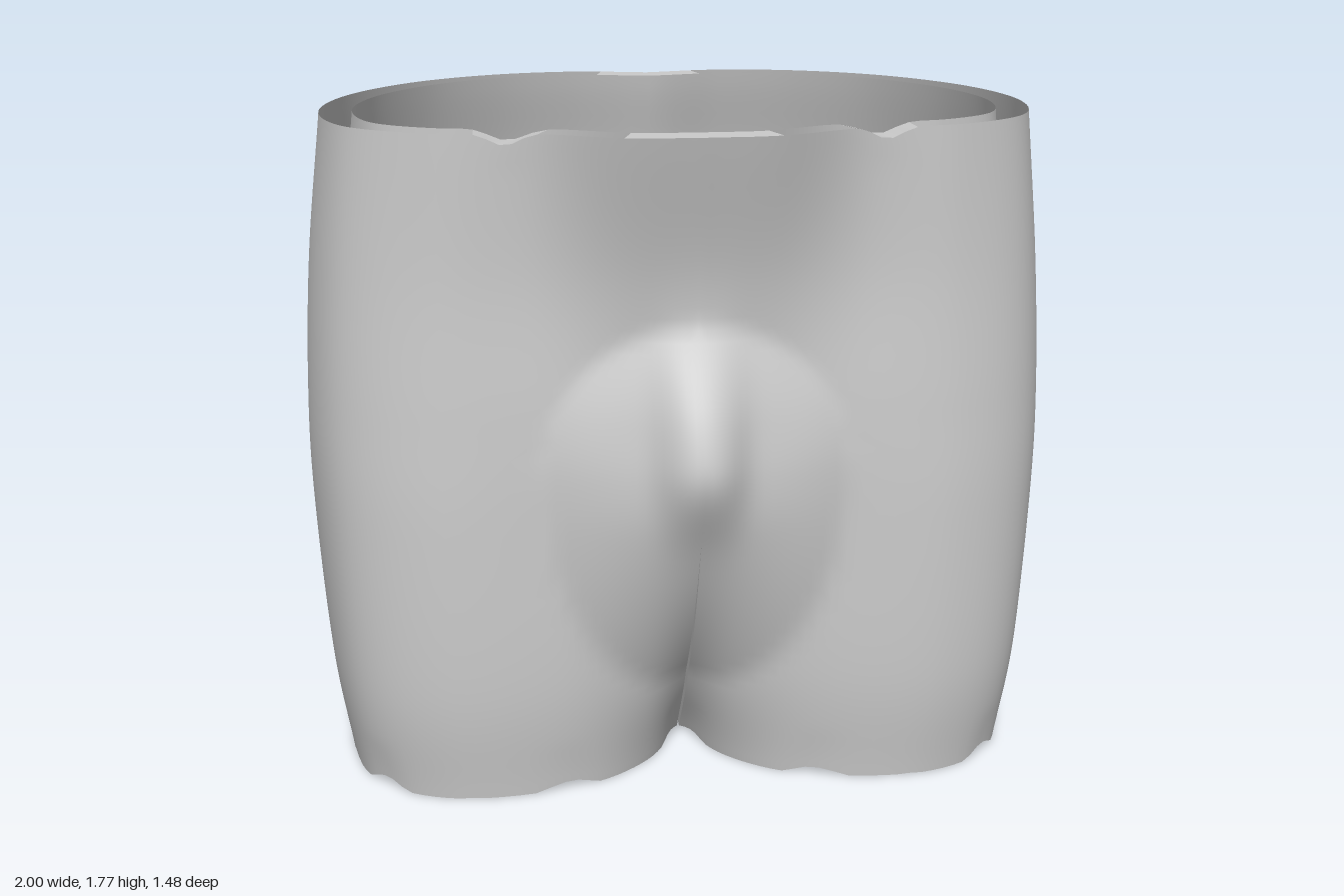
import * as THREE from 'three';
import { mergeGeometries, mergeVertices } from 'three/addons/utils/BufferGeometryUtils.js';

const ROWS = 60, LEG_ROW = 24, COLS = 80, WALL = 0.085, TOP = 1.775;
const material = new THREE.MeshStandardMaterial({ color: 0xcccccc, side: THREE.DoubleSide });

// Half outlines [x, z], front centre round the hip to back centre, from hem to waist
const levels = [0, 0.3, 0.75, 1.05, 1.4, TOP];
const outlines = [
  [.003, .18, .11, .38, .31, .51, .63, .54, .85, .41, .925, .13, .87, -.13, .69, -.35, .44, -.43, .16, -.35, .003, -.12],
  [.003, .40, .13, .49, .35, .56, .67, .57, .89, .43, .97, .12, .91, -.14, .73, -.37, .46, -.485, .17, -.41, .003, -.20],
  [0, .555, .16, .555, .36, .57, .68, .575, .91, .43, .998, .12, .94, -.15, .76, -.40, .47, -.52, .18, -.48, 0, -.34],
  [0, .555, .16, .555, .36, .565, .68, .565, .91, .42, .997, .12, .94, -.18, .77, -.44, .48, -.605, .19, -.60, 0, -.49],
  [0, .595, .17, .59, .40, .555, .67, .55, .89, .41, .975, .12, .93, -.22, .76, -.50, .50, -.685, .22, -.738, 0, -.672],
  [0, .70, .19, .685, .42, .58, .66, .55, .86, .40, .93, .12, .87, -.18, .70, -.44, .47, -.60, .22, -.655, 0, -.61],
];
const curve = (pts) => new THREE.CatmullRomCurve3(pts, false, 'catmullrom', 0.5);
const rails = Array.from({ length: 11 }, (_, i) =>
  curve(levels.map((y, k) => new THREE.Vector3(outlines[k][2 * i], y, outlines[k][2 * i + 1]))));

// Rounded swelling at the front with a central ridge
function frontSwell(x, y) {
  const dy = (y - 0.9) / (y > 0.9 ? 0.39 : 0.64);
  const egg = Math.max(0, 1 - (x / 0.4) ** 2 - dy * dy) ** 1.1;
  const ridgeY = (y - 0.96) / (y > 0.96 ? 0.23 : 0.16);
  return 0.105 * egg + 0.075 * Math.exp(-((x / 0.1) ** 2) * (1 + (x / 0.1) ** 2) / 2 - ridgeY ** 2);
}

// Ragged hem and worn dips in the waist
function wear(u, y) {
  const hem = Math.max(0, Math.sin(u * 53) * Math.sin(u * 19 + 1)) * (0.012 + 0.05 * u);
  const waist = 0.03 * Math.exp(-(((u - 0.22) / 0.02) ** 2));
  return hem * Math.max(0, 1 - y / 0.15) - waist * Math.max(0, 1 - (TOP - y) / 0.1);
}

// Outer and inner half sections for every row
const outer = [], inner = [];
for (let r = 0; r <= ROWS; r++) {
  const line = curve(rails.map((rail) => rail.getPoint(r / ROWS)));
  const out = [], inn = [];
  for (let c = 0; c <= COLS; c++) {
    const u = c / COLS, p = line.getPoint(u), t = line.getTangent(u);
    const end = c === 0 || c === COLS;
    const nx = end ? 0 : -t.z, nz = end ? (c ? -1 : 1) : t.x;
    const y = p.y + wear(u, p.y);
    const minX = r <= LEG_ROW ? 0.07 : 0;
    const ix = end ? minX : Math.max(minX, p.x - nx * WALL);
    inn.push(new THREE.Vector3(ix, y, p.z - nz * WALL));
    const swell = p.z > 0.3 ? frontSwell(p.x, p.y) : 0;
    out.push(new THREE.Vector3(Math.max(0, p.x), y, p.z + swell));
  }
  outer.push(out);
  inner.push(inn);
}

// Grid surface through rows of points
function skin(rows, flip = false) {
  const n = rows[0].length, index = [];
  for (let r = 0; r < rows.length - 1; r++) {
    for (let c = 0; c < n - 1; c++) {
      const a = r * n + c, b = a + 1, d = a + n, e = d + 1;
      index.push(...(flip ? [a, d, b, b, d, e] : [a, b, d, b, e, d]));
    }
  }
  const g = new THREE.BufferGeometry().setFromPoints(rows.flat());
  g.setIndex(index);
  return g;
}

// Both mirrored halves, welded on the centre line
function bothSides(rows, flip) {
  const mirrored = rows.map((row) => row.map((p) => new THREE.Vector3(-p.x, p.y, p.z)));
  const g = mergeVertices(mergeGeometries([skin(rows, flip), skin(mirrored, !flip)]), 1e-4);
  g.computeVertexNormals();
  return g;
}

// Patches that bridge the two skins along part of an edge
function rimPatches(row, ranges, flip) {
  return mergeGeometries(ranges.map(([from, to]) => bothSides([outer[row], inner[row]]
    .map((line) => line.slice(Math.round(from * COLS), Math.round(to * COLS) + 1)), flip)));
}

// Flat wall joining the two ends of each leg section
function innerThigh(sections) {
  return sections.slice(0, LEG_ROW + 1).map((s) => {
    const a = s[COLS], b = s[0];
    return Array.from({ length: 13 }, (_, i) => a.clone().lerp(b, i / 12));
  });
}

export function createModel() {
  const group = new THREE.Group();
  const add = (name, geometry) => {
    const mesh = new THREE.Mesh(geometry, material);
    mesh.name = name;
    group.add(mesh);
  };

  add('outerShell', bothSides(outer, true));
  add('innerLining', bothSides(inner, false));
  add('waistRimPatches', rimPatches(ROWS, [[0, 0.1], [0.19, 0.25], [0.94, 1]], true));
  add('legRimPatches', rimPatches(0, [[0, 0.14], [0.2, 0.3], [0.35, 0.42], [0.56, 0.7], [0.78, 1]], false));

  // Walls between the legs
  const outerThigh = innerThigh(outer), liningThigh = innerThigh(inner);
  add('innerThighs', bothSides(outerThigh, true));
  add('innerThighLining', bothSides(liningThigh, false));
  add('innerThighRims', bothSides([outerThigh[0], liningThigh[0]], false));

  // Rounded mass inside, above the crotch, flattened where it meets the front wall
  const profile = new THREE.SplineCurve([[0.02, 0.28], [0.2, 0.36], [0.4, 0.52], [0.53, 0.72], [0.55, 0.9],
    [0.49, 1.08], [0.35, 1.24], [0.18, 1.33], [0, 1.36]].map(([x, y]) => new THREE.Vector2(x, y)));
  const dome = new THREE.LatheGeometry(profile.getPoints(40).map((p) => p.setX(Math.max(0, p.x))), 64);
  const pos = dome.attributes.position;
  for (let i = 0; i < pos.count; i++) {
    const frontLimit = 0.49 - 0.3 * Math.max(0, 0.55 - pos.getY(i));
    pos.setZ(i, Math.min(frontLimit, 0.17 + 0.85 * pos.getZ(i)));
  }
  dome.computeVertexNormals();
  add('crotchDome', dome);

  // Flared arch from the dome to the back wall
  const flare = new THREE.SplineCurve([[0.46, -0.4], [0.32, -0.36], [0.22, -0.3], [0.25, -0.2], [0.34, 0]]
    .map(([x, y]) => new THREE.Vector2(x, y))).getPoints(20);
  const arch = flare.map((p) => Array.from({ length: 25 }, (_, i) => {
    const a = (i / 24) * Math.PI;
    const lean = 0.8 * Math.max(0, -0.3 - p.y) * Math.sin(a);
    return new THREE.Vector3(p.x * Math.cos(a), 0.82 + 0.75 * p.x * Math.sin(a), p.y - lean);
  }));
  const archGeometry = skin(arch, true);
  archGeometry.computeVertexNormals();
  add('backArch', archGeometry);

  return group;
}
